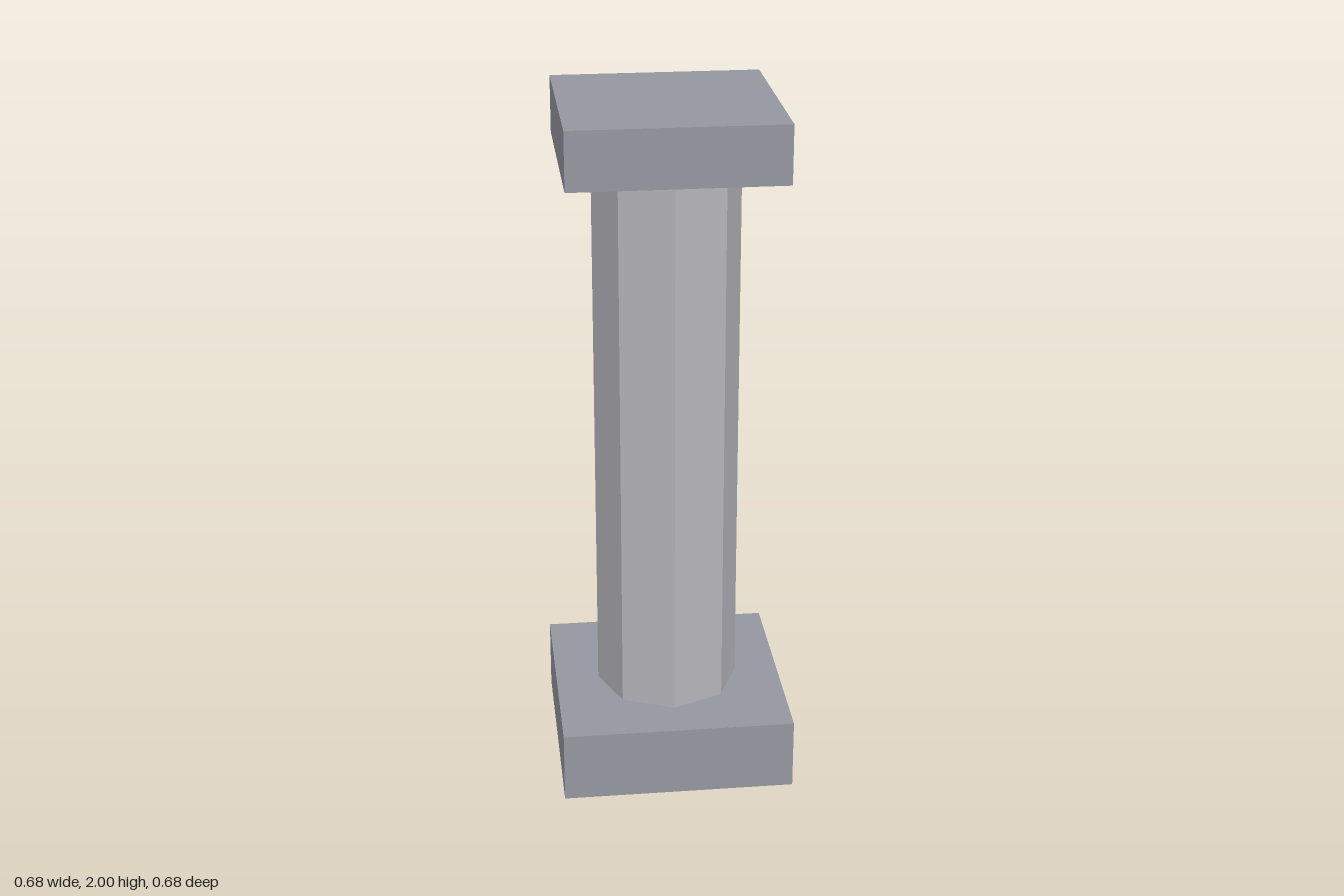
import * as THREE from 'three';

export function createModel() {
  const group = new THREE.Group();
  group.name = 'column';
  const slabMaterial = new THREE.MeshStandardMaterial({ color: 0x9597a0, flatShading: true });
  const shaftMaterial = new THREE.MeshStandardMaterial({ color: 0xb5b5ba, flatShading: true });

  const baseHeight = 0.21;
  const capBottom = 1.835;

  function addPart(name, geometry, material, bottom, top) {
    const mesh = new THREE.Mesh(geometry, material);
    mesh.name = name;
    mesh.position.y = (bottom + top) / 2;
    group.add(mesh);
  }

  // Square slab at the foot
  addPart('base', new THREE.BoxGeometry(0.676, baseHeight, 0.676), slabMaterial, 0, baseHeight);

  // Eight-sided shaft, open where it meets the slabs
  const shaft = new THREE.CylinderGeometry(0.21, 0.21, capBottom - baseHeight, 8, 1, true);
  addPart('shaft', shaft, shaftMaterial, baseHeight, capBottom);

  // Smaller square slab on top
  addPart('capital', new THREE.BoxGeometry(0.6, 2 - capBottom, 0.6), slabMaterial, capBottom, 2);

  return group;
}
